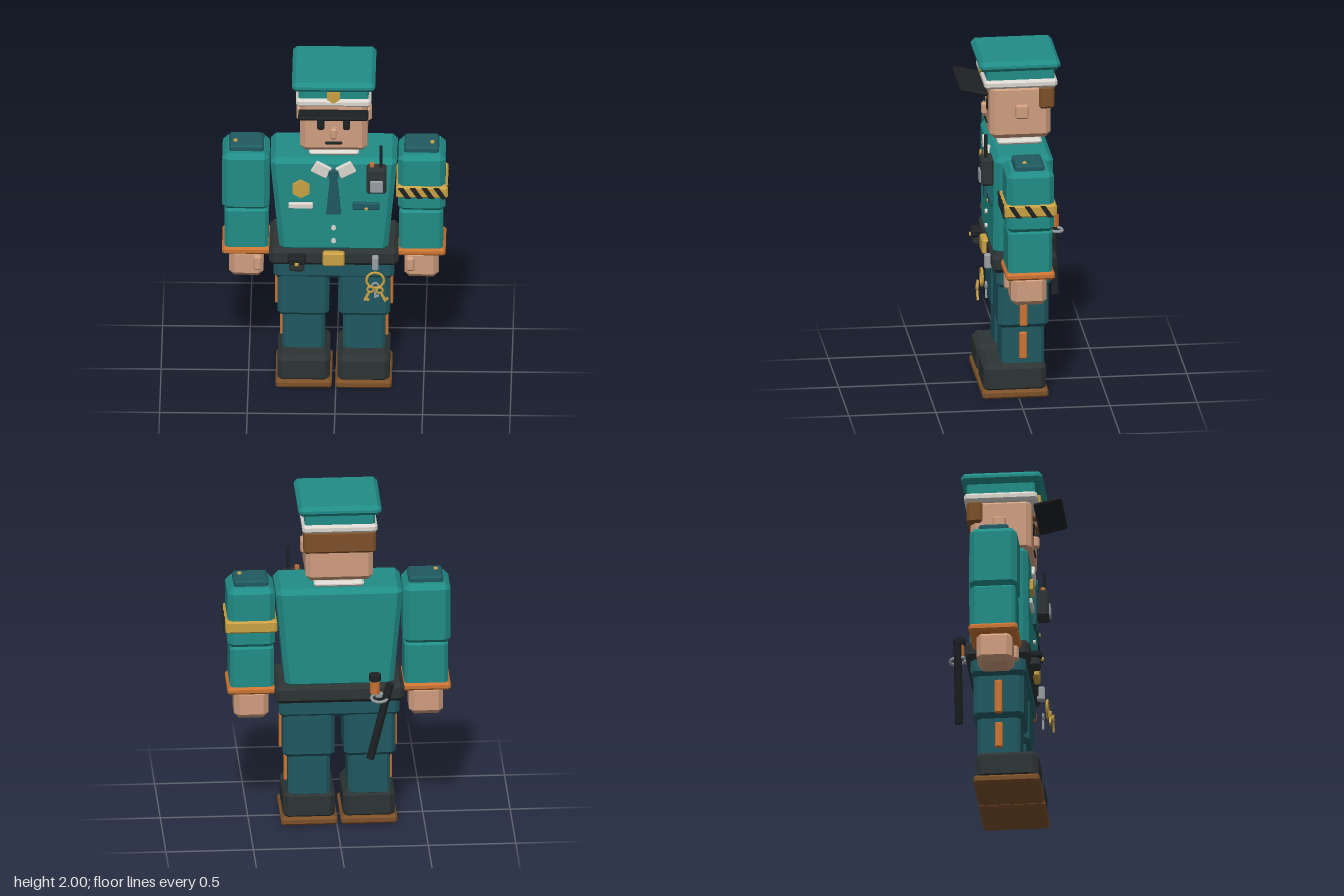
import * as THREE from 'three';
import { ConvexGeometry } from 'three/addons/geometries/ConvexGeometry.js';

const C = -0.013; // x of the figure's middle plane

export function createModel() {
  const root = new THREE.Group();
  root.name = 'officer';
  const mat = (name, color) => {
    const m = new THREE.MeshStandardMaterial({ color });
    m.name = name;
    return m;
  };
  const teal = mat('teal', 0x218c87), navy = mat('darkTeal', 0x20596100 >>> 8), skin = mat('skin', 0xcf9d7e),
    dark = mat('charcoal', 0x2d3333), black = mat('black', 0x1e2224), gold = mat('gold', 0xc9a143),
    orange = mat('orange', 0xcb7433), brown = mat('brown', 0x7c5029), white = mat('white', 0xdad6ce),
    grey = mat('grey', 0x989da2);

  const add = (name, geo, m, x = 0, y = 0, z = 0, parent = root) => {
    const mesh = new THREE.Mesh(geo, m);
    mesh.name = name;
    mesh.position.set(x, y, z);
    parent.add(mesh);
    return mesh;
  };
  // Box with chamfered edges; the bottom can be narrowed by taper
  const chamfer = (w, h, d, c, taper = 1) => {
    const pts = [];
    for (const i of [-1, 1]) for (const j of [-1, 1]) for (const k of [-1, 1]) {
      const t = j < 0 ? taper : 1;
      const X = i * w / 2 * t, Y = j * h / 2, Z = k * d / 2;
      pts.push(new THREE.Vector3(X, Y - j * c, Z - k * c),
        new THREE.Vector3(X - i * c, Y, Z - k * c),
        new THREE.Vector3(X - i * c, Y - j * c, Z));
    }
    return new ConvexGeometry(pts);
  };
  // Chamfered box from its extents
  const box = (name, m, x0, x1, y0, y1, z0, z1, c = 0.01, taper = 1) =>
    add(name, chamfer(x1 - x0, y1 - y0, z1 - z0, c, taper), m, (x0 + x1) / 2, (y0 + y1) / 2, (z0 + z1) / 2);
  // Same, mirrored about the middle plane: a and b are distances from it
  const sided = (s, name, m, a, b, ...rest) =>
    box((s > 0 ? 'left' : 'right') + name, m, C + Math.min(s * a, s * b), C + Math.max(s * a, s * b), ...rest);
  // Flat polygon facing +z
  const plate = (name, m, pts, depth, x, y, z) => add(name, new THREE.ExtrudeGeometry(
    new THREE.Shape(pts.map(p => new THREE.Vector2(p[0], p[1]))), { depth, bevelEnabled: false }), m, x, y, z);
  const hex = r => [0, 1, 2, 3, 4, 5].map(i => [r * Math.sin(i * Math.PI / 3), r * Math.cos(i * Math.PI / 3)]);
  const rod = (name, m, r, h, x, y, z, n = 8) => add(name, new THREE.CylinderGeometry(r, r, h, n).toNonIndexed(), m, x, y, z);

  // Cap
  box('capTop', teal, C - 0.238, C + 0.238, 1.94, 2, -0.25, 0.214, 0.022);
  box('capCrown', teal, C - 0.2, C + 0.2, 1.86, 1.95, -0.22, 0.17, 0.01);
  box('capBand', white, C - 0.215, C + 0.215, 1.83, 1.882, -0.235, 0.185, 0.015);
  const visor = add('visor', chamfer(0.4, 0.022, 0.165, 0.008), black, C, 1.815, 0.243);
  visor.rotation.x = -0.23;
  plate('capBadge', gold, [[-0.037, 0.035], [0.037, 0.035], [0.037, -0.015], [0, -0.04], [-0.037, -0.015]], 0.02, C, 1.9, 0.17);

  // Head
  box('head', skin, C - 0.193, C + 0.193, 1.52, 1.845, -0.2, 0.15, 0.03);
  box('hair', brown, C - 0.207, C + 0.207, 1.7, 1.835, -0.22, -0.13, 0.014);
  box('nose', skin, C - 0.02, C + 0.02, 1.615, 1.685, 0.14, 0.18, 0.01);
  box('mouth', black, C - 0.05, C + 0.05, 1.572, 1.59, 0.14, 0.158, 0.006);
  for (const s of [-1, 1]) {
    sided(s, 'Ear', skin, 0.185, 0.215, 1.645, 1.73, -0.07, 0.005, 0.01);
    sided(s, 'Eye', black, 0.053, 0.094, 1.665, 1.737, 0.14, 0.16, 0.009);
    const brow = add('eyebrow', chamfer(0.083, 0.02, 0.025, 0.006), brown, C + s * 0.075, 1.768, 0.155);
    brow.rotation.z = -s * 0.14;
  }
  box('neck', skin, C - 0.1, C + 0.1, 1.46, 1.54, -0.125, 0.075, 0.01);
  box('collarBand', white, C - 0.143, C + 0.143, 1.465, 1.5, -0.155, 0.1, 0.014);

  // Shirt, narrowing to the waist
  box('torso', teal, C - 0.362, C + 0.362, 0.86, 1.467, -0.195, 0.145, 0.03, 0.86);
  for (const s of [-1, 1]) {
    const flap = add('collarFlap', chamfer(0.1, 0.075, 0.025, 0.006), white, C + s * 0.07, 1.405, 0.15);
    flap.rotation.z = s * 0.5;
  }
  plate('tieKnot', navy, [[-0.026, 0.03], [0.026, 0.03], [0.032, 0.005], [0.02, -0.03], [-0.02, -0.03], [-0.032, 0.005]],
    0.035, C, 1.375, 0.14);
  plate('tieBlade', navy, [[-0.02, 0.12], [0.02, 0.12], [0.043, -0.115], [-0.043, -0.115]], 0.025, C, 1.235, 0.14);
  plate('chestBadge', gold, hex(0.056), 0.025, -0.2, 1.28, 0.14);
  box('namePlate', white, -0.27, -0.13, 1.15, 1.188, 0.135, 0.162, 0.006);
  box('pocketFlap', navy, 0.095, 0.25, 1.145, 1.193, 0.135, 0.162, 0.007);
  box('pocketButton', gold, 0.163, 0.183, 1.147, 1.165, 0.155, 0.17, 0.004);
  for (const y of [1.025, 0.94]) {
    rod('shirtButton', white, 0.014, 0.025, C, y, 0.147).rotation.x = Math.PI / 2;
  }

  // Chest radio
  box('radio', dark, 0.175, 0.29, 1.28, 1.445, 0.14, 0.215, 0.012);
  box('radioScreen', grey, 0.196, 0.27, 1.292, 1.37, 0.2, 0.223, 0.006);
  rod('antenna', black, 0.009, 0.15, 0.257, 1.508, 0.185);
  rod('radioKnob', orange, 0.014, 0.025, 0.207, 1.455, 0.18);

  // Arms
  for (const s of [-1, 1]) {
    sided(s, 'UpperArm', teal, 0.367, 0.637, 1.1, 1.467, -0.167, 0.105, 0.03);
    sided(s, 'Forearm', teal, 0.373, 0.623, 0.84, 1.115, -0.157, 0.097, 0.02);
    sided(s, 'Cuff', orange, 0.36, 0.638, 0.818, 0.862, -0.17, 0.11, 0.012);
    sided(s, 'Hand', skin, 0.402, 0.598, 0.65, 0.83, -0.13, 0.075, 0.03);
    sided(s, 'Thumb', skin, 0.41, 0.462, 0.708, 0.8, 0.05, 0.1, 0.012);
    sided(s, 'Epaulette', navy, 0.4, 0.6, 1.455, 1.502, -0.115, 0.055, 0.012);
    sided(s, 'EpauletteButton', gold, 0.55, 0.573, 1.49, 1.513, -0.015, 0.008, 0.005);
  }

  // Striped armband
  box('armband', gold, 0.342, 0.638, 1.202, 1.275, -0.18, 0.12, 0.01);
  const slant = [[-0.037, 0.034], [-0.007, 0.034], [0.037, -0.034], [0.007, -0.034]];
  for (let i = 0; i < 4; i++) plate('frontStripe', black, slant, 0.009, 0.39 + i * 0.068, 1.238, 0.12);
  for (let i = 0; i < 3; i++) {
    plate('sideStripe', black, slant, 0.009, 0.637, 1.238, 0.06 - i * 0.09).rotation.y = Math.PI / 2;
  }

  // Belt and front gear
  box('belt', dark, C - 0.37, C + 0.37, 0.77, 0.882, -0.215, 0.155, 0.025);
  box('buckle', gold, C - 0.062, C + 0.062, 0.785, 0.872, 0.14, 0.182, 0.009);
  box('pouch', dark, -0.268, -0.178, 0.76, 0.845, 0.145, 0.205, 0.012);
  box('pouchFlap', black, -0.275, -0.171, 0.81, 0.855, 0.145, 0.215, 0.01);
  box('pouchStud', gold, -0.234, -0.212, 0.808, 0.828, 0.205, 0.225, 0.004);
  box('keyClip', grey, 0.206, 0.244, 0.765, 0.85, 0.145, 0.19, 0.007);
  add('keyRing', new THREE.TorusGeometry(0.05, 0.008, 6, 16), gold, 0.225, 0.712, 0.205);
  [-0.45, 0, 0.45].forEach((a, i) => {
    const key = new THREE.Group();
    key.name = 'key';
    key.position.set(0.225 + (i - 1) * 0.022, 0.672, [0.225, 0.18, 0.235][i]);
    key.rotation.z = a;
    const m = i === 1 ? grey : gold;
    add('keyBow', new THREE.TorusGeometry(0.018, 0.007, 6, 10), m, 0, -0.01, 0, key);
    add('keyShaft', new THREE.BoxGeometry(0.014, 0.065, 0.012), m, 0, -0.055, 0, key);
    add('keyBit', new THREE.BoxGeometry(0.02, 0.012, 0.012), m, 0.012, -0.076, 0, key);
    root.add(key);
  });

  // Back gear: baton and torch held by a ring
  const baton = rod('baton', black, 0.023, 0.475, -0.24, 0.68, -0.265, 10);
  baton.rotation.z = 0.24;
  rod('torchCap', black, 0.035, 0.035, -0.21, 0.95, -0.262, 10);
  rod('torchNeck', black, 0.028, 0.03, -0.21, 0.925, -0.262, 10);
  rod('torchBody', orange, 0.029, 0.075, -0.21, 0.89, -0.262, 10);
  const ring = add('gearRing', new THREE.TorusGeometry(0.046, 0.009, 6, 14), grey, -0.235, 0.822, -0.268);
  ring.rotation.x = Math.PI / 2 - 0.15;
  box('gearMount', grey, -0.255, -0.215, 0.805, 0.84, -0.232, -0.205, 0.005);

  // Trousers and boots
  box('hips', navy, C - 0.345, C + 0.345, 0.672, 0.8, -0.185, 0.13, 0.025);
  for (const s of [-1, 1]) {
    sided(s, 'Thigh', navy, 0.027, 0.322, 0.42, 0.72, -0.172, 0.118, 0.025);
    sided(s, 'Shin', navy, 0.052, 0.292, 0.17, 0.45, -0.15, 0.095, 0.02);
    sided(s, 'ThighStripe', orange, 0.31, 0.337, 0.437, 0.643, -0.048, -0.004, 0.006);
    sided(s, 'ShinStripe', orange, 0.28, 0.31, 0.232, 0.39, -0.048, -0.004, 0.006);
    sided(s, 'Boot', dark, 0.022, 0.32, 0.03, 0.205, -0.16, 0.2, 0.03);
    sided(s, 'Sole', brown, 0.01, 0.332, 0, 0.05, -0.17, 0.21, 0.013);
  }
  return root;
}
